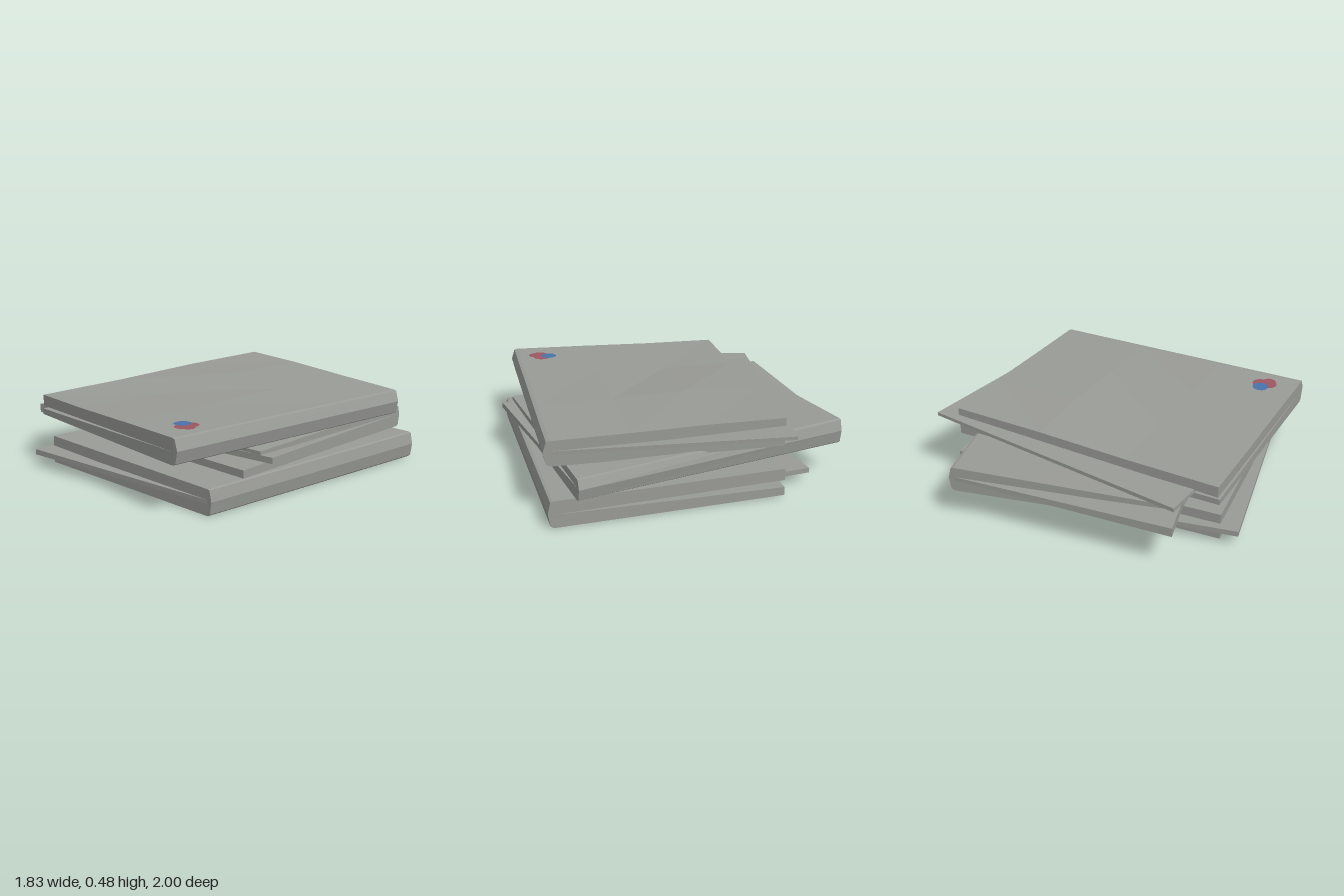
import * as THREE from 'three';

const mat = (name, color, opts = {}) => Object.assign(new THREE.MeshStandardMaterial({ color, ...opts }), { name });
const lerp = THREE.MathUtils.lerp;
const N = 3; // cells per side of a sheet block

// Bilinear blend of component k of four corners
const blend = (c, k, u, v) => lerp(lerp(c[0][k], c[1][k], u), lerp(c[3][k], c[2][k], u), v);

// Soft hump and dip of crumpled paper
const bump = (u, v, cu, cv) => Math.exp(-12 * ((u - cu) ** 2 + (v - cv) ** 2));
const crumple = (u, v) => 0.025 * bump(u, v, 1 / 3, 2 / 3) - 0.02 * bump(u, v, 1 / 3, 1 / 3);
const topHeight = (c, u, v, wave) => blend(c, 3, u, v) + wave * crumple(u, v);

function meshFrom(name, pos, idx, material) {
  const g = new THREE.BufferGeometry();
  g.setAttribute('position', new THREE.Float32BufferAttribute(pos, 3));
  g.setIndex(idx);
  g.computeVertexNormals();
  const m = new THREE.Mesh(g, material);
  m.name = name;
  return m;
}

// Block of sheets; corners are [x, z, bottom, top], anticlockwise seen from above
function sheetBlock(name, c, material, wave) {
  const pos = [], idx = [], S = N + 1, top = S * S;
  for (const isTop of [false, true])
    for (let j = 0; j <= N; j++)
      for (let i = 0; i <= N; i++) {
        const u = i / N, v = j / N;
        const y = isTop ? topHeight(c, u, v, wave) : blend(c, 2, u, v);
        pos.push(blend(c, 0, u, v), y, blend(c, 1, u, v));
      }
  for (let j = 0; j < N; j++)
    for (let i = 0; i < N; i++) {
      const a = j * S + i, b = a + 1, d = a + S, e = d + 1;
      idx.push(a, e, b, a, d, e, top + a, top + b, top + e, top + a, top + e, top + d);
    }
  // Edge walls around the block
  const rim = [];
  for (let i = 0; i < N; i++) rim.push(i);
  for (let j = 0; j < N; j++) rim.push(j * S + N);
  for (let i = N; i > 0; i--) rim.push(N * S + i);
  for (let j = N; j > 0; j--) rim.push(j * S);
  rim.forEach((a, k) => {
    const b = rim[(k + 1) % rim.length];
    idx.push(a, b, top + b, a, top + b, top + a);
  });
  return meshFrom(name, pos, idx, material);
}

// Folded edge bulging outward between two corners [x, z, bottom, top]
function foldedEdge(p, q, width, material) {
  const dx = q[0] - p[0], dz = q[1] - p[1], len = Math.hypot(dx, dz);
  const ox = -dz / len, oz = dx / len;
  const profile = [[0, 0], [0.6, 0.08], [1, 0.55], [0.5, 0.97], [0, 1]];
  const pos = [], idx = [], n = profile.length;
  for (const e of [p, q])
    for (const [o, h] of profile) pos.push(e[0] + ox * o * width, lerp(e[2], e[3], h), e[1] + oz * o * width);
  for (let i = 0; i < n - 1; i++) idx.push(i, n + i, n + i + 1, i, n + i + 1, i + 1);
  for (let i = 1; i < n - 1; i++) idx.push(0, i, i + 1, n, n + i + 1, n + i);
  return meshFrom('foldedEdge', pos, idx, material);
}

// Part of a fold corner's height, from fraction a to fraction b
const foldPart = ([x, z, y0, y1], a, b) => [x, z, lerp(y0, y1, a), lerp(y0, y1, b)];

// Four corners of a block: two open ones and a share of the fold between them
const corners = (open, fold, a, b) => [open[0], foldPart(fold[0], a, b), foldPart(fold[1], a, b), open[1]];

// Folded bundle: lower, loose and upper sheets fanning out from one fold
function bundle(name, fold, lower, loose, upper, foldWidth, material, wave = 0) {
  const g = new THREE.Group();
  g.name = name;
  g.add(
    sheetBlock('lowerSheets', corners(lower, fold, 0, 0.5), material, 0),
    sheetBlock('looseSheets', corners(loose, fold, 0.45, 0.6), material, 0),
    sheetBlock('upperSheets', corners(upper, fold, 0.5, 1), material, wave),
    foldedEdge(fold[0], fold[1], foldWidth, material),
  );
  return g;
}

// Ink spot draped over a sheet block
function inkSpot(name, sheet, wave, x, z, r, lift, material) {
  const geo = new THREE.CircleGeometry(r, 14);
  geo.rotateX(-Math.PI / 2);
  const p = geo.attributes.position;
  for (let i = 0; i < p.count; i++) {
    const px = p.getX(i) + x, pz = p.getZ(i) + z;
    // Sheet coordinates of the point, refined in a few steps
    let u = 0.9, v = 0.1;
    for (let k = 0; k < 20; k++) {
      u += (px - blend(sheet, 0, u, v)) / 1.35;
      v -= (pz - blend(sheet, 1, u, v)) / 1.69;
    }
    p.setXYZ(i, px, topHeight(sheet, u, v, wave) + lift, pz);
  }
  geo.computeVertexNormals();
  const m = new THREE.Mesh(geo, material);
  m.name = name;
  return m;
}

export function createModel() {
  const model = new THREE.Group();
  model.name = 'paperStack';
  const paper = mat('greyPaper', 0x999b96, { flatShading: true });
  const red = mat('redInk', 0x9c5661, { side: THREE.DoubleSide });
  const blue = mat('blueInk', 0x4a72a8, { side: THREE.DoubleSide });

  // Bottom bundle, folded on the left side
  model.add(bundle('bottomBundle',
    [[0.80, 0.84, 0, 0.15], [0.88, -0.84, 0, 0.16]],
    [[-0.55, 0.84, 0.01, 0.06], [-0.47, -0.87, 0.01, 0.06]],
    [[-0.58, 0.955, 0.075, 0.108], [-0.69, -0.73, 0.06, 0.09]],
    [[-0.55, 0.84, 0.115, 0.175], [-0.47, -0.87, 0.105, 0.175]], 0.03, paper));

  // Middle bundle, folded at the back
  model.add(bundle('middleBundle',
    [[0.755, -0.88, 0.165, 0.295], [-0.905, -0.665, 0.2, 0.355]],
    [[0.85, 0.62, 0.17, 0.215], [-0.76, 0.62, 0.19, 0.225]],
    [[0.91, 0.46, 0.23, 0.265], [-0.92, 0.67, 0.23, 0.285]],
    [[0.84, 0.48, 0.27, 0.29], [-0.76, 0.6, 0.29, 0.315]], 0.03, paper));

  // Top bundle, folded on the left side and slightly crumpled
  const topFold = [[0.70, 0.995, 0.29, 0.44], [0.855, -0.695, 0.3, 0.45]];
  const topOpen = [[-0.64, 0.84, 0.35, 0.42], [-0.47, -0.855, 0.435, 0.48]];
  model.add(bundle('topBundle', topFold,
    [[-0.635, 0.85, 0.3, 0.335], [-0.47, -0.85, 0.31, 0.365]],
    [[-0.84, 0.65, 0.335, 0.36], [-0.475, -1.0, 0.405, 0.425]],
    topOpen, 0.04, paper, 1));

  // Ink spots on the near corner of the top sheet
  const sheet = corners(topOpen, topFold, 0.5, 1);
  model.add(
    inkSpot('redSpotBack', sheet, 1, 0.58, 0.76, 0.054, 0.003, red),
    inkSpot('redSpotFront', sheet, 1, 0.585, 0.805, 0.055, 0.0035, red),
    inkSpot('redSpotSide', sheet, 1, 0.615, 0.805, 0.042, 0.004, red),
    inkSpot('blueSpot', sheet, 1, 0.532, 0.768, 0.05, 0.005, blue),
  );
  return model;
}
